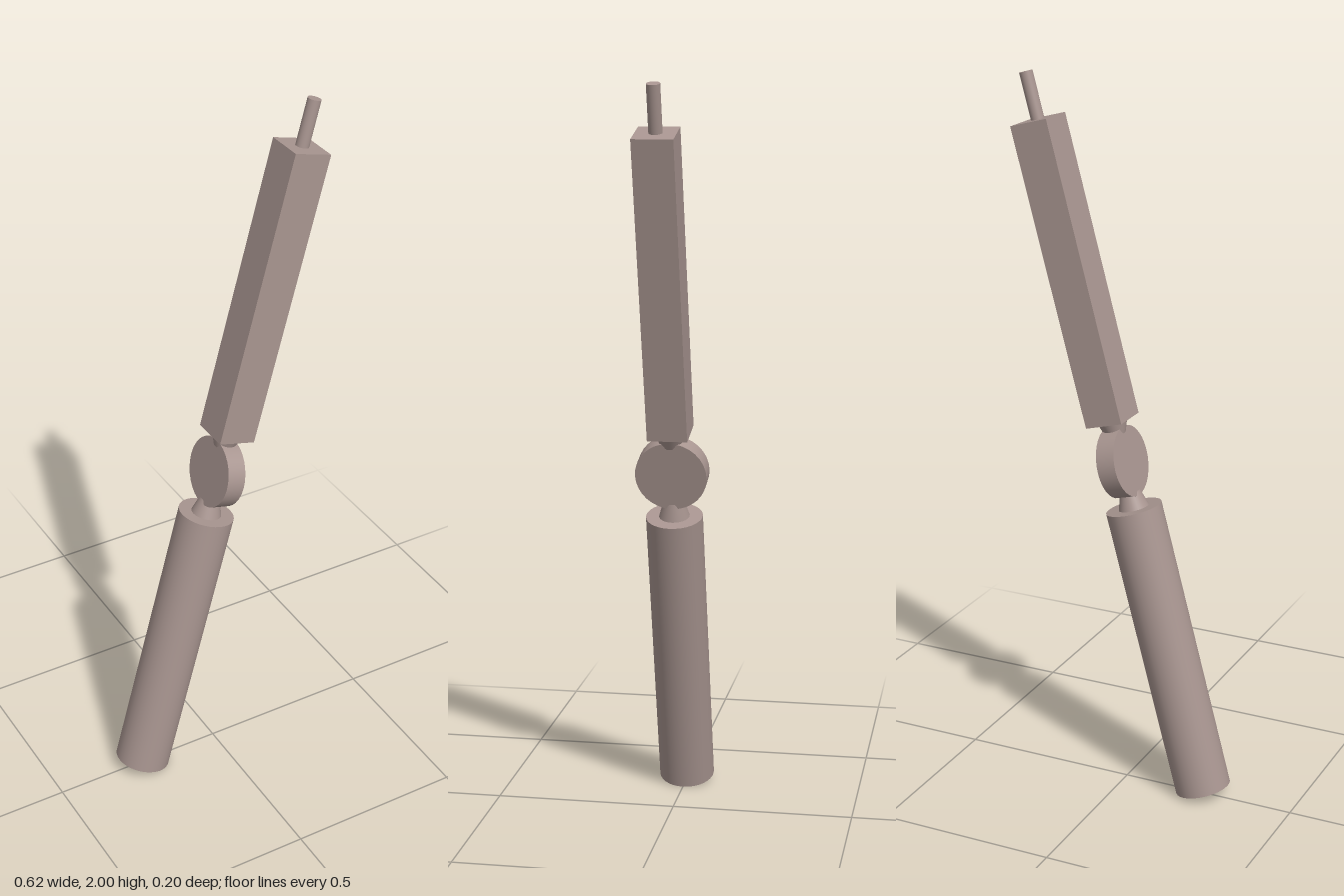
import * as THREE from 'three';

export function createModel() {
  const model = new THREE.Group();
  const taupe = new THREE.MeshStandardMaterial({ color: 0xa89590 });
  taupe.name = 'taupe';

  // Everything sits on one axis that leans to the model's left
  const arm = new THREE.Group();
  arm.name = 'leaningArm';
  arm.position.set(-0.237, 0.02, 0);
  arm.rotation.z = -THREE.MathUtils.degToRad(15);
  model.add(arm);

  const add = (name, geometry, y) => {
    const mesh = new THREE.Mesh(geometry, taupe);
    mesh.name = name;
    mesh.position.y = y;
    arm.add(mesh);
    return mesh;
  };
  // Round part running between two heights on the axis
  const round = (name, y0, y1, r0, r1 = r0) =>
    add(name, new THREE.CylinderGeometry(r1, r0, y1 - y0, 32), (y0 + y1) / 2);

  // Round handle and the tapered neck above it
  round('handle', 0, 0.838, 0.078);
  round('lowerNeck', 0.838, 0.885, 0.042, 0.028);

  // Hinge disc, its flat faces turned to the sides
  const disc = add('hingeDisc', new THREE.CylinderGeometry(0.098, 0.098, 0.054, 32), 0.97);
  disc.rotation.z = Math.PI / 2;

  // Mirrored neck, square bar and end pin
  round('upperNeck', 1.05, 1.088, 0.028, 0.042);
  add('squareBar', new THREE.BoxGeometry(0.109, 0.831, 0.109), 1.5025);
  round('endPin', 1.918, 2.045, 0.018);

  return model;
}
